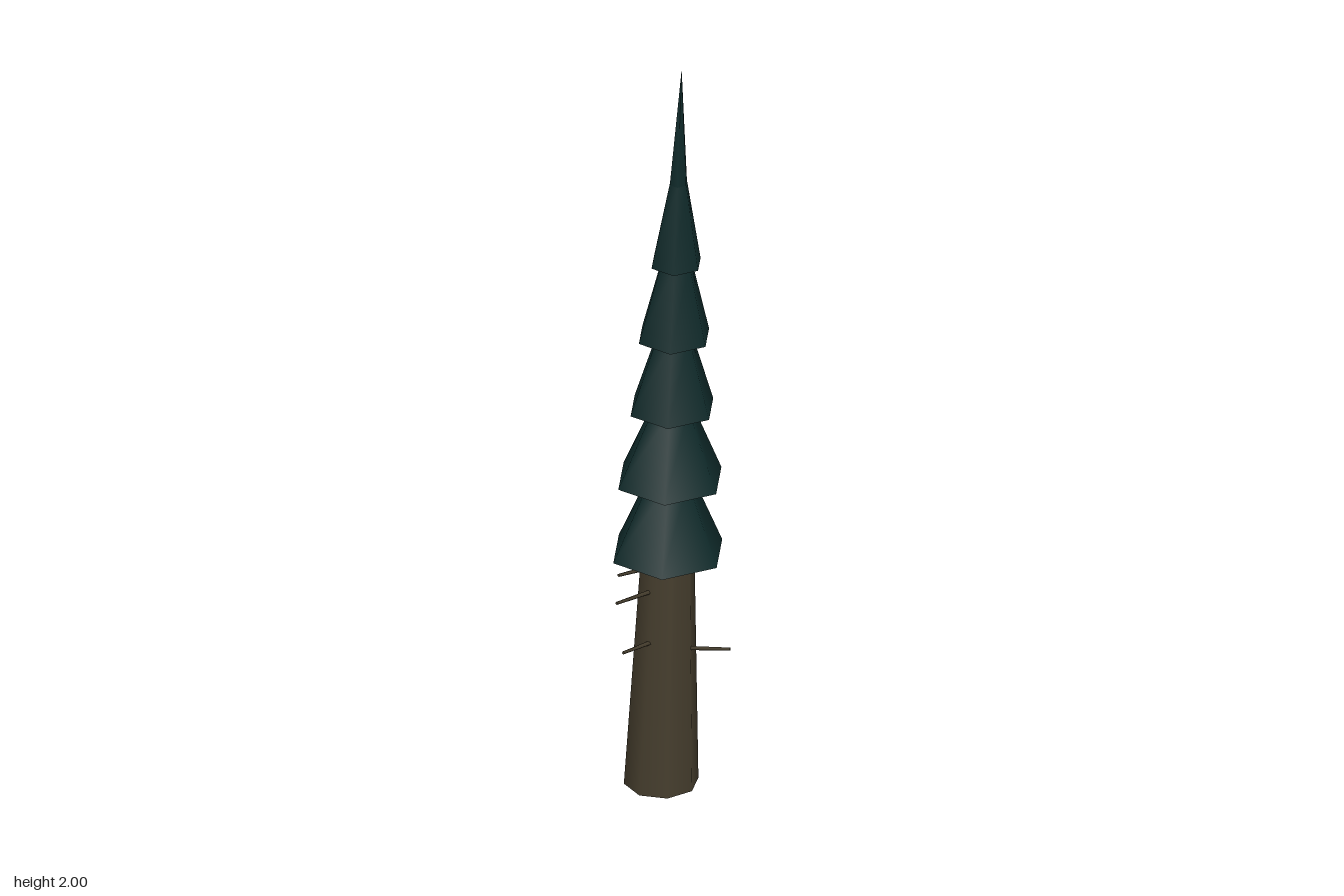
import * as THREE from 'three';

// The tree leans slightly: centre of its axis at height y
const axis = (y) => new THREE.Vector3(-0.02 + 0.01 * y, y, -0.012 - 0.03 * y);

// Tapered tube between two points, kept horizontal at its ends by shearing
function leaning(rBottom, rTop, y0, y1, sides, turn, open, material, name) {
  const geo = new THREE.CylinderGeometry(rTop, rBottom, y1 - y0, sides, 1, open);
  geo.rotateY(turn);
  geo.translate(0, (y0 + y1) / 2, 0);
  const p = geo.attributes.position;
  for (let i = 0; i < p.count; i++) {
    const c = axis(p.getY(i));
    p.setX(i, p.getX(i) + c.x);
    p.setZ(i, p.getZ(i) + c.z);
  }
  const mesh = new THREE.Mesh(geo, material);
  mesh.name = name;
  return mesh;
}

// Thin dead twig from a to b
function twig(a, b, material, name) {
  const from = new THREE.Vector3(...a), to = new THREE.Vector3(...b);
  const dir = to.clone().sub(from);
  const mesh = new THREE.Mesh(new THREE.CylinderGeometry(0.004, 0.006, dir.length(), 5), material);
  mesh.position.copy(from).add(to).multiplyScalar(0.5);
  mesh.quaternion.setFromUnitVectors(new THREE.Vector3(0, 1, 0), dir.normalize());
  mesh.name = name;
  return mesh;
}

export function createModel() {
  const tree = new THREE.Group();
  tree.name = 'pineTree';
  const bark = new THREE.MeshStandardMaterial({ color: 0x453d2d });
  bark.name = 'bark';
  const needles = new THREE.MeshStandardMaterial({ color: 0x0f2a2a, side: THREE.DoubleSide });
  needles.name = 'needles';

  // Trunk, running up inside the foliage
  tree.add(leaning(0.094, 0.036, 0, 1.4, 8, 0, false, bark, 'trunk'));

  // Foliage skirts: bottom height, top height, bottom radius, top radius
  const tiers = [
    [0.645, 0.86, 0.149, 0.054],
    [0.85, 1.06, 0.141, 0.05],
    [1.05, 1.26, 0.113, 0.045],
    [1.25, 1.465, 0.096, 0.04],
    [1.455, 1.68, 0.067, 0.024],
  ];
  tiers.forEach(([y0, y1, r0, r1], i) => {
    tree.add(leaning(r0, r1, y0, y1, 6, Math.PI / 2, true, needles, `foliageTier${i + 1}`));
  });
  tree.add(leaning(0.025, 0, 1.66, 2, 6, Math.PI / 2, true, needles, 'spire'));

  // Dead twigs on the bare trunk
  [
    [[0.03, 0.39, -0.02], [0.16, 0.412, -0.055]],
    [[-0.012, 0.417, 0.03], [-0.022, 0.434, 0.148]],
    [[-0.02, 0.556, 0.03], [-0.035, 0.575, 0.158]],
    [[-0.03, 0.617, 0.02], [-0.053, 0.634, 0.125]],
  ].forEach(([a, b], i) => tree.add(twig(a, b, bark, `twig${i + 1}`)));

  return tree;
}
